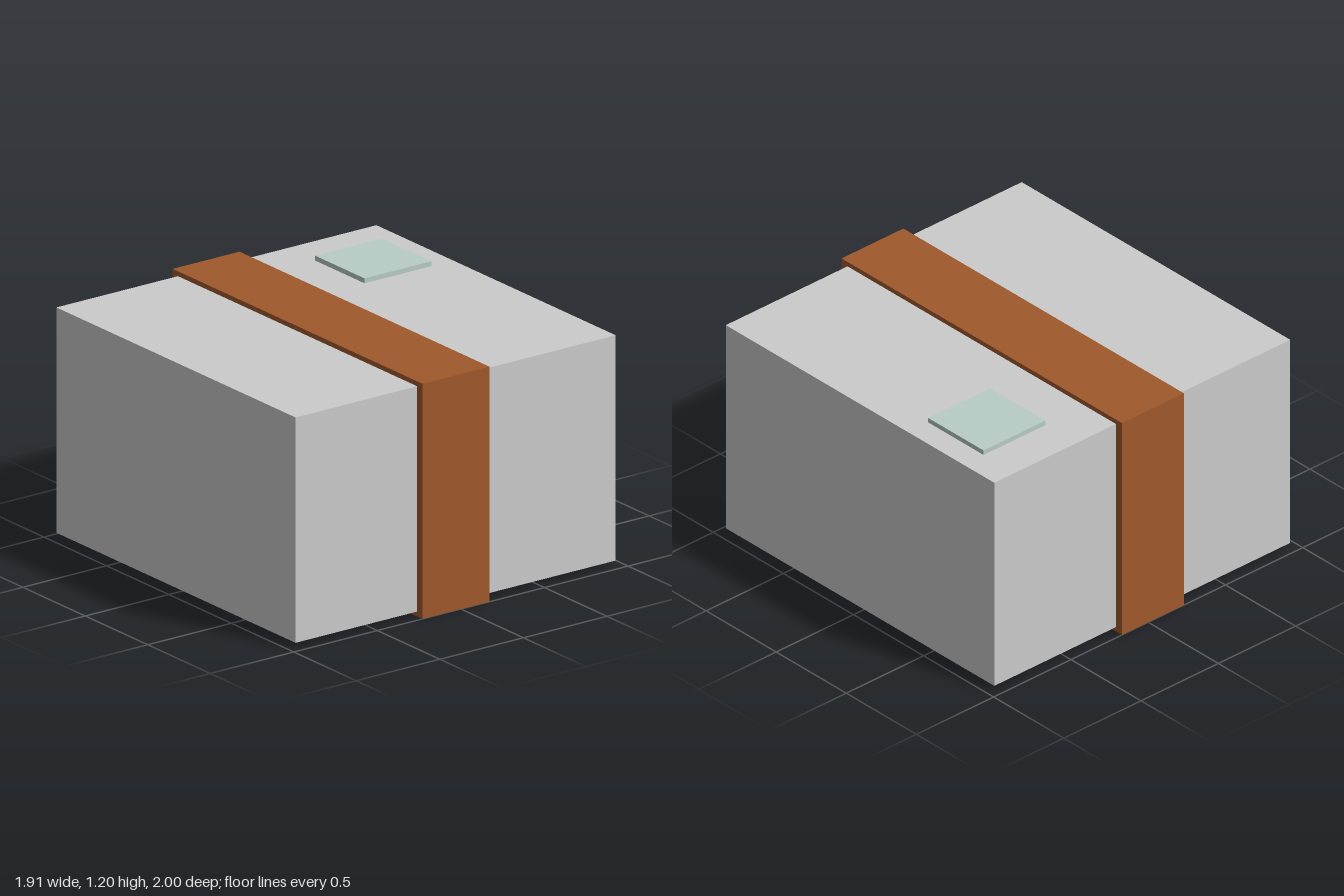
import * as THREE from 'three';

function makePart(name, geometry, color, x, y, z) {
  const mesh = new THREE.Mesh(geometry, new THREE.MeshStandardMaterial({ color }));
  mesh.name = name;
  mesh.position.set(x, y, z);
  return mesh;
}

// Counter-clockwise rectangle, centred on the origin
function rectanglePoints(w, h) {
  return [[-w, -h], [w, -h], [w, h], [-w, h]].map(([x, y]) => new THREE.Vector2(x / 2, y / 2));
}

export function createModel() {
  const group = new THREE.Group();
  group.name = 'package';

  const side = 1.915, height = 1.15, middle = 0.6;
  const strapWidth = 0.4;

  // Closed carton
  group.add(makePart('carton', new THREE.BoxGeometry(side, height, side), 0xcccccc, 0, middle, 0));

  // Band wrapped around the carton: a rectangular loop extruded along x
  const loop = new THREE.Shape(rectanglePoints(2, 1.2));
  loop.holes.push(new THREE.Path(rectanglePoints(side, height).reverse()));
  const band = new THREE.ExtrudeGeometry(loop, { depth: strapWidth, bevelEnabled: false });
  band.translate(0, 0, -strapWidth / 2).rotateY(Math.PI / 2);
  group.add(makePart('strap', band, 0xa0592c, -0.03, middle, 0));

  // Flat label on the lid
  group.add(makePart('label', new THREE.BoxGeometry(0.4, 0.025, 0.395), 0xb8ccc5, 0.627, 1.1875, -0.54));

  return group;
}
